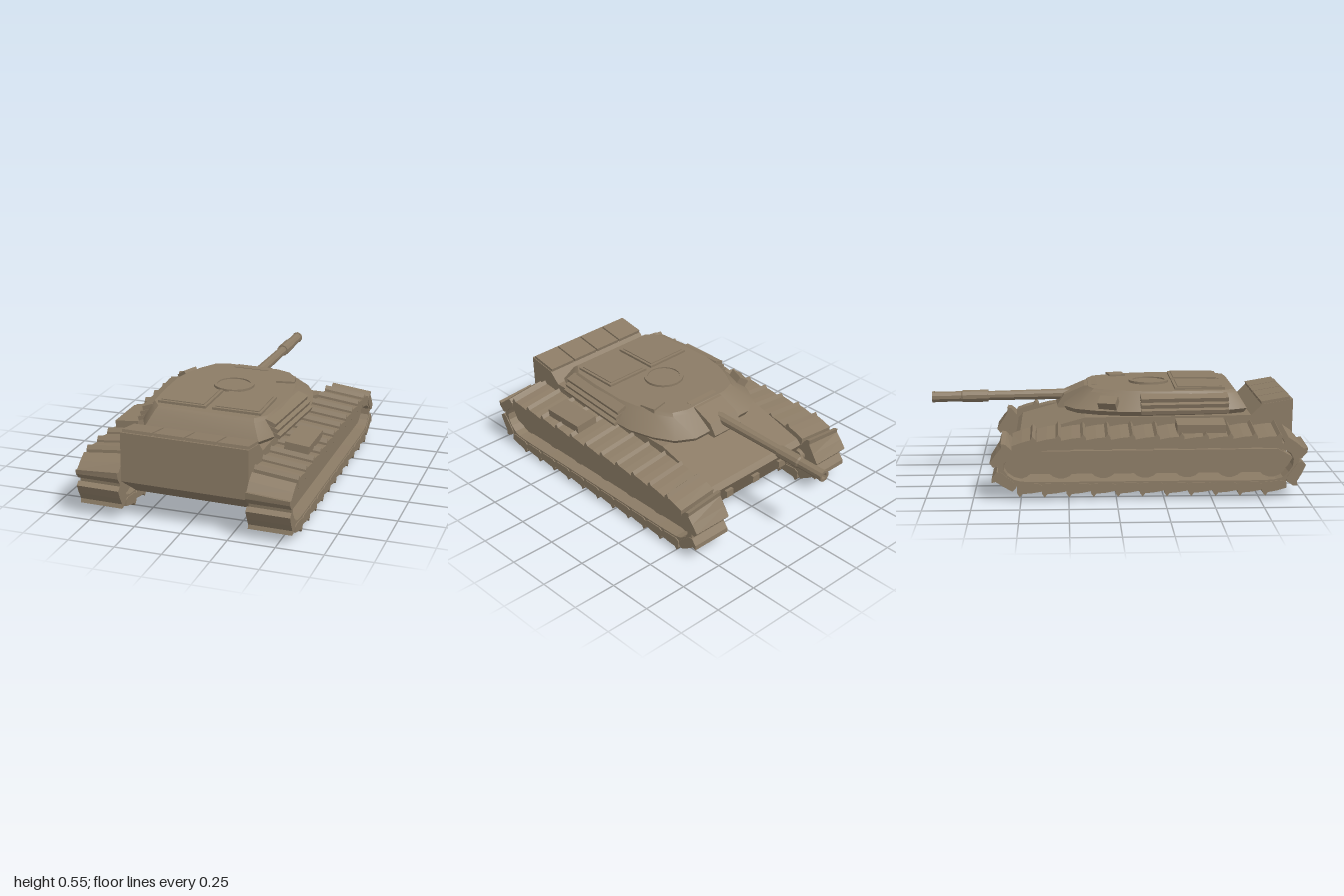
import * as THREE from 'three';
import { toCreasedNormals } from 'three/addons/utils/BufferGeometryUtils.js';

const paint = new THREE.MeshStandardMaterial({ color: 0x8b7b65 });

function add(parent, name, geometry, x = 0, y = 0, z = 0) {
  const mesh = new THREE.Mesh(geometry, paint);
  mesh.name = name;
  mesh.position.set(x, y, z);
  parent.add(mesh);
  return mesh;
}

const toShape = (pts) => new THREE.Shape(pts.map(([a, b]) => new THREE.Vector2(a, b)));

// Side profile of (z, y) points, extruded across from x0 to x1
function prism(pts, x0, x1, hole) {
  const shape = toShape(pts);
  if (hole) shape.holes.push(toShape(hole));
  const g = new THREE.ExtrudeGeometry(shape, { depth: x1 - x0, bevelEnabled: false });
  return g.rotateY(-Math.PI / 2).translate(x1, 0, 0);
}

// Raises the upper run of a track slightly toward the hull
function slopeTop(g) {
  const p = g.attributes.position;
  for (let i = 0; i < p.count; i++) {
    const k = THREE.MathUtils.smoothstep(p.getY(i), 0.22, 0.29);
    p.setY(i, p.getY(i) + k * (0.57 - Math.abs(p.getX(i))) * 0.11);
  }
  g.computeVertexNormals();
  return g;
}

// Skin over mirrored half outlines: each ring is {y, half: [[x, z], ...]}
function loft(rings) {
  const n = rings[0].half.length * 2;
  const pos = [], idx = [];
  for (const { y, half } of rings) {
    for (const [x, z] of half) pos.push(x, y, z);
    for (const [x, z] of [...half].reverse()) pos.push(-x, y, z);
  }
  for (let r = 0; r < rings.length - 1; r++) {
    for (let i = 0; i < n; i++) {
      const j = (i + 1) % n, a = r * n + i, b = r * n + j;
      idx.push(a, a + n, b + n, a, b + n, b);
    }
  }
  const top = (rings.length - 1) * n, c = rings.length * n;
  pos.push(0, rings[0].y, 0.2, 0, rings[rings.length - 1].y, 0.2);
  for (let i = 0; i < n; i++) {
    const j = (i + 1) % n;
    idx.push(c, i, j, c + 1, top + j, top + i);
  }
  const g = new THREE.BufferGeometry();
  g.setAttribute('position', new THREE.Float32BufferAttribute(pos, 3));
  g.setIndex(idx);
  return toCreasedNormals(g, 0.5);
}

function makeTrack(side) {
  const track = new THREE.Group();
  track.name = side > 0 ? 'leftTrack' : 'rightTrack';
  const x0 = side > 0 ? 0.34 : -0.57, x1 = x0 + 0.23;

  // Closed path of the belt in (z, y)
  const path = new THREE.CatmullRomCurve3([
    [0.8, 0.28], [0.4, 0.28], [0, 0.28], [-0.35, 0.275], [-0.53, 0.25], [-0.605, 0.2], [-0.6, 0.13],
    [-0.53, 0.077], [-0.4, 0.068], [0, 0.068], [0.4, 0.068], [0.78, 0.068], [0.88, 0.085],
    [0.94, 0.15], [0.945, 0.215], [0.9, 0.265],
  ].map(([z, y]) => new THREE.Vector3(z, y, 0)), true, 'catmullrom', 0.4);
  const normal = (u) => {
    const t = path.getTangentAt(u);
    return [t.y, -t.x];
  };
  const offset = (d) => Array.from({ length: 72 }, (_, i) => {
    const p = path.getPointAt(i / 72), [nz, ny] = normal(i / 72);
    return [p.x + nz * d, p.y + ny * d];
  });
  add(track, 'belt', slopeTop(prism(offset(0.01), x0 + 0.005, x1 - 0.005, offset(-0.02))));

  // Tread pads, each with a raised cleat on one edge
  const pad = [[-0.066, 0], [-0.045, -0.012], [0.045, -0.012], [0.066, 0], [0.064, 0.03],
    [0.01, 0.04], [-0.036, 0.044], [-0.05, 0.062], [-0.064, 0.042]];
  const count = 26;
  for (let i = 0; i < count; i++) {
    const u = i / count, p = path.getPointAt(u), [nz, ny] = normal(u);
    // tangent is (-ny, nz)
    const pts = pad.map(([t, n]) => [p.x - ny * t + nz * n, p.y + nz * t + ny * n]);
    add(track, 'treadPad', slopeTop(prism(pts, x0, x1)));
  }

  // Side panel and road wheels inside the belt
  const panel = [[0.93, 0.2], [0.85, 0.245], [-0.5, 0.24], [-0.57, 0.21], [-0.59, 0.16],
    [-0.52, 0.12], [0.8, 0.12], [0.9, 0.15]];
  add(track, 'sidePanel', prism(panel, side > 0 ? 0.43 : -0.52, side > 0 ? 0.52 : -0.43));
  for (let i = 0; i < 7; i++) {
    const wheel = new THREE.CylinderGeometry(0.085, 0.085, 0.13, 18).rotateZ(Math.PI / 2);
    add(track, 'roadWheel', toCreasedNormals(wheel, 0.6), side * 0.435, 0.175, 0.82 - i * 0.222);
    const hub = new THREE.CylinderGeometry(0.035, 0.035, 0.16, 12).rotateZ(Math.PI / 2);
    add(track, 'wheelHub', toCreasedNormals(hub, 0.6), side * 0.42, 0.175, 0.82 - i * 0.222);
  }
  add(track, 'fenderBox', new THREE.BoxGeometry(0.13, 0.045, 0.255), side * 0.47, 0.363, 0.445)
    .rotation.z = -side * 0.1;
  return track;
}

function makeHull() {
  const hull = new THREE.Group();
  hull.name = 'hull';
  add(hull, 'hullBody', prism([[0.95, 0.21], [0.955, 0.478], [0.79, 0.45], [0.73, 0.392], [-0.16, 0.385],
    [-0.51, 0.288], [-0.535, 0.26], [-0.43, 0.082], [0.76, 0.082]], -0.34, 0.34));
  // Four covers on the rear deck
  for (let i = 0; i < 4; i++) {
    add(hull, 'rearCover', new THREE.BoxGeometry(0.16, 0.02, 0.155), -0.255 + i * 0.17, 0.468, 0.862)
      .rotation.x = -0.17;
  }
  for (const x of [-0.2, 0, 0.2]) {
    add(hull, 'towHook', new THREE.BoxGeometry(0.05, 0.04, 0.05), x, 0.2, -0.505);
  }
  return hull;
}

function makeTurret() {
  const turret = new THREE.Group();
  turret.name = 'turret';
  const wide = [[0.2, -0.27], [0.3, -0.21], [0.36, -0.1], [0.4, 0.04], [0.405, 0.16],
    [0.385, 0.4], [0.36, 0.61], [0.31, 0.71]];
  const roof = [[0.14, -0.14], [0.22, -0.11], [0.27, -0.02], [0.31, 0.08], [0.33, 0.2],
    [0.325, 0.4], [0.31, 0.57], [0.26, 0.64]];
  add(turret, 'turretBody', loft([
    { y: 0.4, half: wide.map(([x, z]) => [x * 0.95, 0.2 + (z - 0.2) * 0.97]) },
    { y: 0.425, half: wide },
    { y: 0.505, half: roof.map(([x, z]) => [x * 1.04, 0.2 + (z - 0.2) * 1.05]) },
    { y: 0.522, half: roof },
  ]));

  // Gun mantlet and stepped barrel
  add(turret, 'mantlet', prism([[-0.09, 0.525], [-0.16, 0.518], [-0.27, 0.47], [-0.31, 0.41],
    [-0.3, 0.395], [-0.09, 0.405]], -0.1, 0.095));
  const barrel = [[0, 0], [0.03, 0], [0.026, 0.49], [0.034, 0.49], [0.034, 0.63], [0.029, 0.64],
    [0.029, 0.785], [0.032, 0.785], [0.032, 0.8], [0.018, 0.8], [0.018, 0.74], [0, 0.74]];
  const gun = new THREE.LatheGeometry(barrel.map(([r, h]) => new THREE.Vector2(r, h)), 10);
  add(turret, 'gunBarrel', toCreasedNormals(gun.rotateX(-Math.PI / 2), 0.4), -0.005, 0.458, -0.2)
    .rotation.x = -0.018;

  // Roof hatches, each with a slightly smaller raised lid
  for (const s of [-1, 1]) {
    add(turret, 'hatchFrame', new THREE.BoxGeometry(0.265, 0.02, 0.27), s * 0.15, 0.525, 0.46);
    add(turret, 'hatchLid', new THREE.BoxGeometry(0.235, 0.02, 0.24), s * 0.15, 0.53, 0.46);
    // Stowage rails along the cheeks
    for (let i = 0; i < 3; i++) {
      const rail = add(turret, 'sideRail', new THREE.BoxGeometry(0.06, 0.022, 0.47),
        s * (0.378 - i * 0.013), 0.432 + i * 0.03, 0.37);
      rail.rotation.set(0, -s * 0.07, -s * 0.35);
    }
  }
  // Round cupola with a rim
  add(turret, 'cupola', toCreasedNormals(new THREE.CylinderGeometry(0.095, 0.095, 0.02, 24), 0.6),
    0, 0.518, 0.2);
  const rim = new THREE.LatheGeometry([[0.09, 0], [0.11, 0], [0.11, 0.02], [0.09, 0.02], [0.09, 0]]
    .map(([r, h]) => new THREE.Vector2(r, h)), 24);
  add(turret, 'cupolaRim', toCreasedNormals(rim, 0.6), 0, 0.515, 0.2);

  // Sight blocks
  add(turret, 'roofSight', new THREE.BoxGeometry(0.1, 0.035, 0.09), 0.24, 0.515, 0.025).rotation.y = 0.2;
  add(turret, 'cheekSight', new THREE.BoxGeometry(0.06, 0.05, 0.1), -0.355, 0.465, -0.035)
    .rotation.set(0, -0.35, 0.6);
  return turret;
}

export function createModel() {
  const tank = new THREE.Group();
  tank.name = 'tank';
  tank.add(makeHull(), makeTurret(), makeTrack(1), makeTrack(-1));
  // Rests with a very slight lean to its side
  tank.rotation.z = -0.013;
  const model = new THREE.Group();
  model.name = 'model';
  model.add(tank);
  return model;
}
